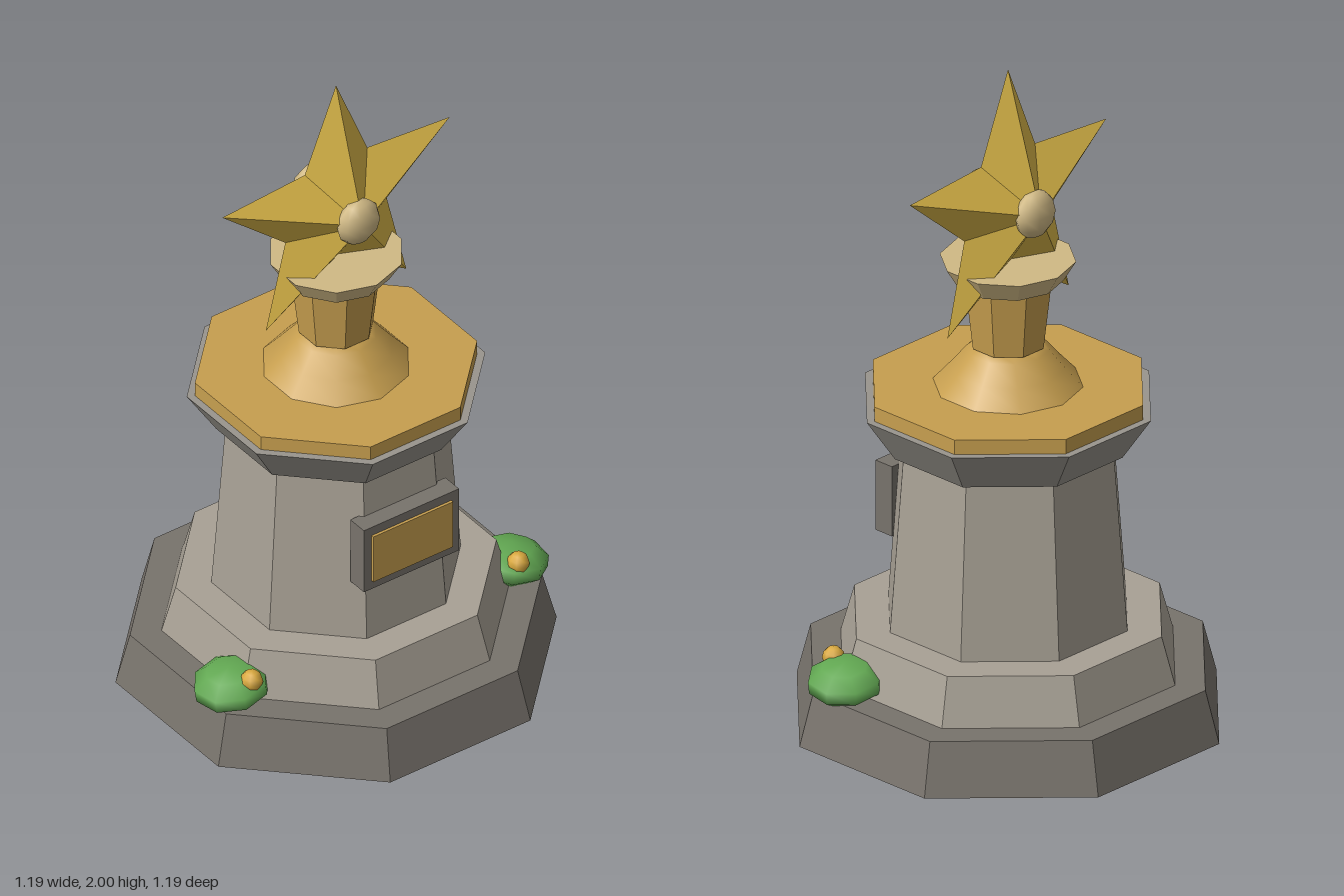
import * as THREE from 'three';

const mat = (name, color, flat = true) => {
  const m = new THREE.MeshStandardMaterial({ color, flatShading: flat });
  m.name = name;
  return m;
};

export function createModel() {
  const root = new THREE.Group();
  root.name = 'starMonument';

  const darkStone = mat('dark stone', 0x78736c);
  const paleStone = mat('pale stone', 0xa8a195);
  const corniceStone = mat('cornice stone', 0x99958d);
  const bronze = mat('bronze', 0xc79f4f);
  const smoothBronze = mat('smooth bronze', 0xc79f4f, false);
  const gold = mat('star gold', 0xd8b548);
  const cream = mat('pale brass', 0xd0b985);
  const knobCream = mat('smooth pale brass', 0xd0b985, false);
  const leaf = mat('leaf green', 0x62a852, false);
  const bud = mat('flower yellow', 0xd9a93f, false);

  const add = (name, geometry, material, x = 0, y = 0, z = 0) => {
    const mesh = new THREE.Mesh(geometry, material);
    mesh.name = name;
    mesh.position.set(x, y, z);
    root.add(mesh);
    return mesh;
  };

  // Octagonal tier: half-widths across the flats at bottom and top
  const tier = (name, y0, y1, a0, a1, material) => {
    const k = 1 / Math.cos(Math.PI / 8);
    const g = new THREE.CylinderGeometry(a1 * k, a0 * k, y1 - y0, 8, 1, false, Math.PI / 8);
    return add(name, g, material, 0, (y0 + y1) / 2, 0);
  };
  tier('base', 0, 0.16, 0.594, 0.555, darkStone);
  tier('plinth', 0.16, 0.305, 0.47, 0.432, paleStone);
  tier('shaft', 0.305, 0.845, 0.336, 0.298, paleStone);
  tier('cornice', 0.845, 0.975, 0.322, 0.402, corniceStone);
  tier('topSlab', 0.975, 1.02, 0.38, 0.38, bronze);
  tier('stem', 1.145, 1.35, 0.1, 0.122, bronze);

  // Flared foot under the stem
  const foot = [[0.215, 1.02], [0.165, 1.075], [0.118, 1.13], [0.09, 1.152], [0, 1.155]];
  add('stemFoot', new THREE.LatheGeometry(foot.map(p => new THREE.Vector2(...p)), 10), smoothBronze);

  // Dish that holds the star
  add('dish', new THREE.CylinderGeometry(0.195, 0.158, 0.062, 10), cream, 0, 1.38, 0);

  // Five-pointed star, raised to a point in the middle of both faces
  const outline = [];
  for (let i = 0; i < 10; i++) {
    const a = Math.PI / 2 + (i * Math.PI) / 5;
    const r = i % 2 ? 0.187 : 0.42;
    outline.push([r * Math.cos(a), r * Math.sin(a), 0]);
  }
  const corners = [];
  outline.forEach((p, i) => {
    const q = outline[(i + 1) % 10];
    corners.push(...p, ...q, 0, 0, 0.13, ...q, ...p, 0, 0, -0.13);
  });
  const starGeo = new THREE.BufferGeometry();
  starGeo.setAttribute('position', new THREE.Float32BufferAttribute(corners, 3));
  starGeo.computeVertexNormals();
  add('star', starGeo, gold, 0, 1.58, 0);

  // Knobs on the front and back of the star
  for (const s of [1, -1]) {
    add(s > 0 ? 'frontKnob' : 'backKnob', new THREE.SphereGeometry(0.072, 10, 6), knobCream, 0, 1.583, s * 0.106)
      .scale.z = 0.6;
  }

  // Plaque on the front of the shaft
  add('plaqueFrame', new THREE.BoxGeometry(0.334, 0.218, 0.065), darkStone, 0, 0.606, 0.328);
  add('plaquePanel', new THREE.BoxGeometry(0.28, 0.16, 0.009), bronze, 0, 0.606, 0.3645);

  // A shrub with a flower at each front side corner
  for (const s of [1, -1]) {
    const shrub = add(s > 0 ? 'leftShrub' : 'rightShrub', new THREE.SphereGeometry(1, 8, 5), leaf, s * 0.49, 0.2, 0.165);
    shrub.scale.set(0.115, 0.06, 0.115);
    shrub.rotation.set(0, s * 0.25, s * -0.15);
    add(s > 0 ? 'leftFlower' : 'rightFlower', new THREE.SphereGeometry(0.033, 8, 6), bud, s * 0.468, 0.243, 0.234);
  }

  return root;
}
